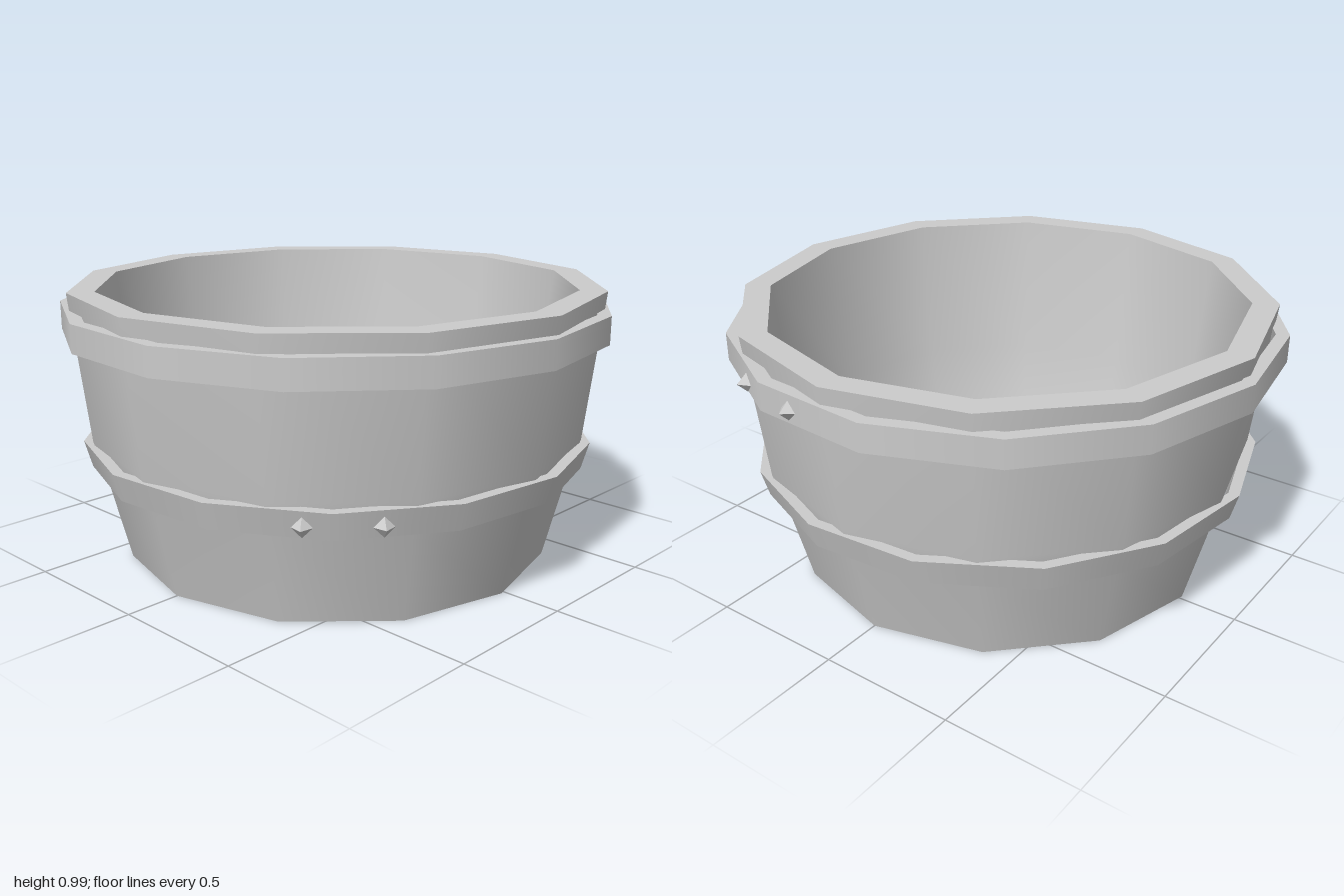
import * as THREE from 'three';
import { mergeGeometries } from 'three/addons/utils/BufferGeometryUtils.js';

const material = new THREE.MeshStandardMaterial({ color: 0xcccccc });
const flatMaterial = new THREE.MeshStandardMaterial({ color: 0xcccccc, flatShading: true });

// Turned part: each strip of [radius, y] points is smooth, with sharp edges between strips
function turned(name, strips, sides, phiStart = 0) {
  const parts = strips.map((strip) =>
    new THREE.LatheGeometry(strip.map(([r, y]) => new THREE.Vector2(r, y)), sides, phiStart));
  const mesh = new THREE.Mesh(mergeGeometries(parts), material);
  mesh.name = name;
  return mesh;
}

// Hoop with a rectangular section that can lean outwards
function hoop(name, y0, y1, r0, r1, thickness, phiStart) {
  const a = [r0, y0], b = [r1, y1], c = [r1 - thickness, y1], d = [r0 - thickness, y0];
  return turned(name, [[a, b], [b, c], [c, d], [d, a]], 14, phiStart);
}

// Small four-sided stud pointing outwards from a hoop
function rivet(name, phi, radius, y) {
  const geometry = new THREE.ConeGeometry(0.034, 0.035, 4);
  geometry.rotateX(Math.PI / 2);
  geometry.translate(0, 0, radius + 0.0175);
  const mesh = new THREE.Mesh(geometry, flatMaterial);
  mesh.name = name;
  mesh.rotation.y = phi;
  mesh.position.y = y;
  return mesh;
}

export function createModel() {
  const group = new THREE.Group();
  group.name = 'tub';
  const rad = THREE.MathUtils.degToRad;

  // Twelve-sided wall with a rim, an inner floor and a recessed underside
  const floorY = 0.2, underY = 0.08;
  group.add(turned('tubBody', [
    [[0.785, 0.01], [0.87, 0.355], [0.904, 0.46], [0.966, 1.0]],
    [[0.966, 1.0], [0.87, 1.0]],
    [[0.87, 1.0], [0.805, 0.46], [0.735, floorY]],
    [[0.735, floorY], [0, floorY]],
    [[0, underY], [0.69, underY]],
    [[0.69, underY], [0.675, 0.01]],
    [[0.675, 0.01], [0.785, 0.01]],
  ], 12));

  // Fourteen-sided hoops, each turned a little differently
  const upper = hoop('upperHoop', 0.838, 0.938, 0.997, 0.997, 0.048, rad(86.8));
  upper.position.x = -0.005;
  group.add(upper);
  group.add(hoop('lowerHoop', 0.35, 0.448, 0.908, 0.935, 0.04, rad(43.2)));

  // A pair of rivets where each hoop overlaps
  for (const phi of [172.9, 157.4]) group.add(rivet('upperRivet', rad(phi), 0.985, 0.89));
  for (const phi of [37.4, 53]) group.add(rivet('lowerRivet', rad(phi), 0.922, 0.397));

  for (const part of group.children) part.position.z = 0.014;
  return group;
}
